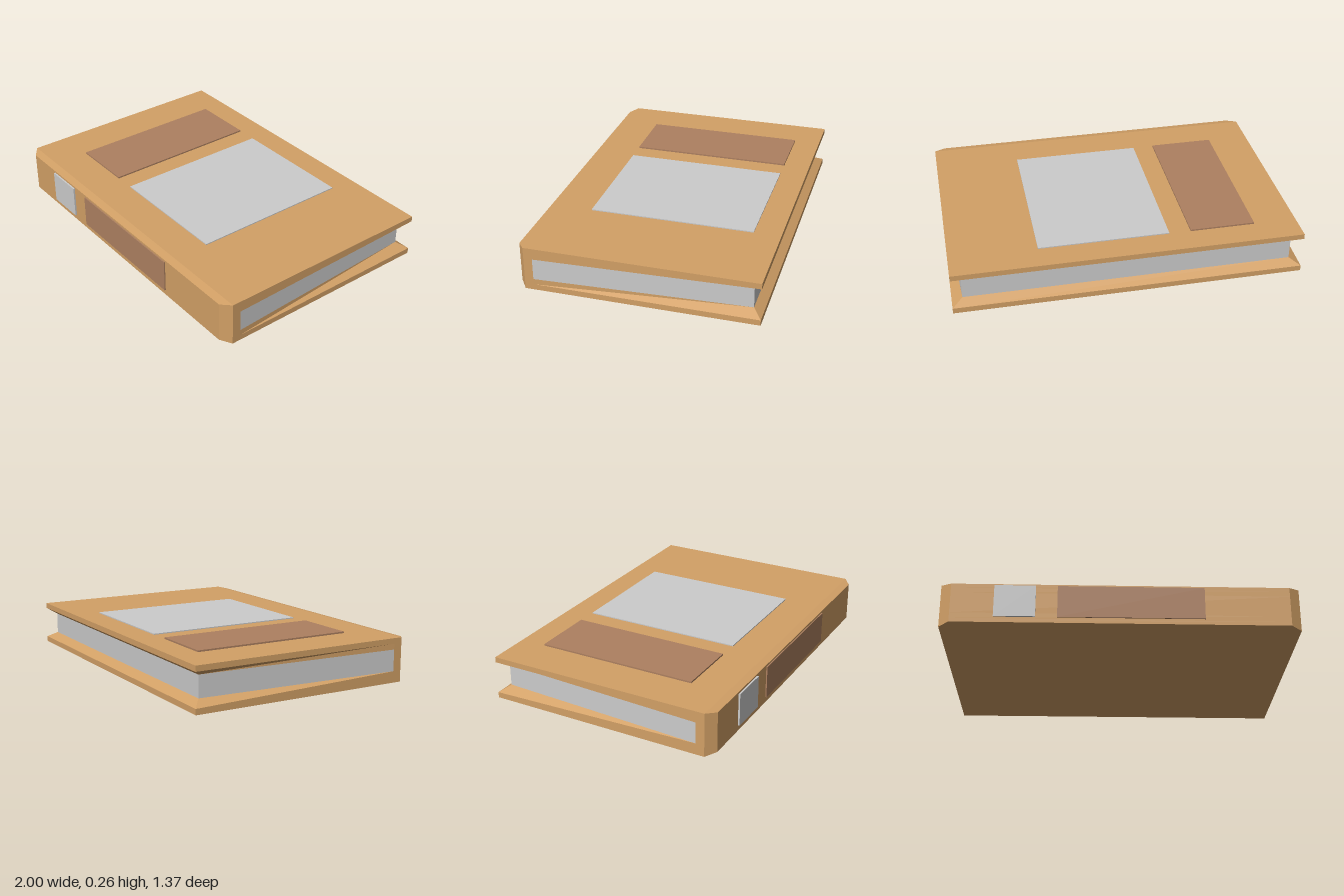
import * as THREE from 'three';

const COVER = 0xd2a066, LABEL = 0xad8060, GREY = 0xcccccc;

// Plan outline, +x back corner round the spine to -x back corner; all levels share it
function outline(y, { inset = 0, spineY = y, spineZ = 0.675 } = {}) {
  const half = [
    [1 - inset, y, -0.685 + inset * 0.83], // back corner
    [1, y, 0.58],                          // where the pages meet the spine
    [1, y, 0.63],                          // start of the spine bevel
    [0.94, spineY, spineZ],                // spine face
  ];
  return [...half, ...half.map(([x, h, z]) => [-x, h, z]).reverse()];
}

function geometryFrom(tris) {
  const g = new THREE.BufferGeometry();
  g.setAttribute('position', new THREE.Float32BufferAttribute(tris.flat(2), 3));
  g.computeVertexNormals();
  return g;
}

// Walls between two outlines, for segments first..last
function walls(lo, hi, first = 0, last = 7) {
  const tris = [];
  for (let i = first; i <= last; i++) {
    const j = (i + 1) % 8;
    tris.push([lo[j], lo[i], hi[i]], [lo[j], hi[i], hi[j]]);
  }
  return tris;
}

function cap(loop, up) {
  const tris = [];
  for (let i = 1; i < 7; i++) {
    tris.push(up ? [loop[0], loop[i + 1], loop[i]] : [loop[0], loop[i], loop[i + 1]]);
  }
  return tris;
}

export function createModel() {
  const group = new THREE.Group();
  const add = (name, geometry, color) => {
    const material = new THREE.MeshStandardMaterial({ color, flatShading: true });
    const mesh = new THREE.Mesh(geometry, material);
    mesh.name = name;
    group.add(mesh);
    return mesh;
  };

  // Outlines from the underside to the top of the book
  const levels = [
    outline(0, { spineZ: 0.63 }),
    outline(0, { spineY: 0.01 }),
    outline(0.033),
    outline(0.066, { inset: 0.06 }),
    outline(0.19, { inset: 0.06 }),
    outline(0.223),
    outline(0.255, { spineY: 0.245 }),
    outline(0.255, { spineZ: 0.63 }),
  ];

  // Boards and spine; the wall round the page block is left open on three sides
  const cover = [...cap(levels[0], false), ...cap(levels[7], true)];
  for (let k = 0; k < 7; k++) {
    cover.push(...(k === 3 ? walls(levels[3], levels[4], 1, 5) : walls(levels[k], levels[k + 1])));
  }
  add('cover', geometryFrom(cover), COVER);

  // Page edges: two tapering sides and the back
  const pages = [
    ...walls(levels[3], levels[4], 0, 0),
    ...walls(levels[3], levels[4], 6, 7),
  ];
  add('pages', geometryFrom(pages), GREY);

  // Raised panels, given by their min and max corners
  const panel = (name, color, a, b) => {
    const size = b.map((v, i) => v - a[i]);
    const mesh = add(name, new THREE.BoxGeometry(...size), color);
    mesh.position.set(...a.map((v, i) => (v + b[i]) / 2));
  };
  panel('topNarrowPanel', LABEL, [-0.75, 0.25, -0.53], [-0.375, 0.264, 0.42]);
  panel('topWidePanel', GREY, [-0.25, 0.25, -0.53], [0.5, 0.261, 0.42]);
  panel('spineSmallPanel', GREY, [-0.7, 0.043, 0.66], [-0.47, 0.234, 0.685]);
  panel('spineWidePanel', LABEL, [-0.35, 0.043, 0.66], [0.465, 0.234, 0.682]);

  return group;
}
